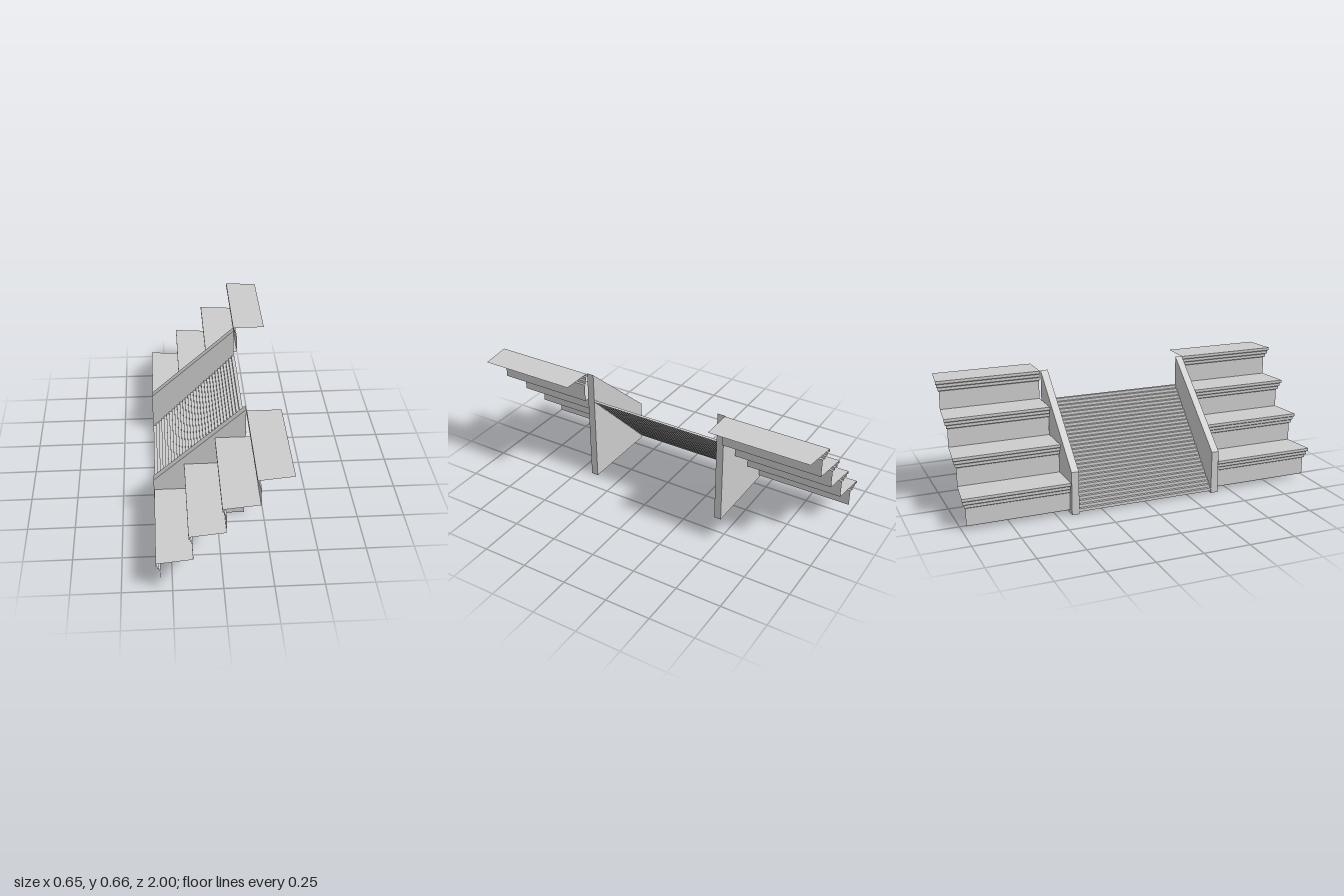
import * as THREE from 'three';

const sheetMaterial = new THREE.MeshStandardMaterial({ color: 0xcccccc, flatShading: true, side: THREE.DoubleSide });
const solidMaterial = new THREE.MeshStandardMaterial({ color: 0xcccccc, flatShading: true });

// Thin folded sheet: each profile point is { x, y, z0, z1 }, a line running along z
function foldedSheet(name, profile) {
  const positions = [];
  for (let i = 0; i < profile.length - 1; i++) {
    const p = profile[i], q = profile[i + 1];
    const a = [p.x, p.y, p.z0], b = [p.x, p.y, p.z1];
    const c = [q.x, q.y, q.z1], d = [q.x, q.y, q.z0];
    positions.push(...a, ...b, ...c, ...a, ...c, ...d);
  }
  const geometry = new THREE.BufferGeometry();
  geometry.setAttribute('position', new THREE.Float32BufferAttribute(positions, 3));
  geometry.computeVertexNormals();
  const mesh = new THREE.Mesh(geometry, sheetMaterial);
  mesh.name = name;
  return mesh;
}

// Flight of four steps with a stepped nosing, mitred at its outer end
function flight(name, side) {
  const steps = 4, run = 0.159, rise = 0.16, inset = 0.022;
  // [inset from the nose, drop below the tread], from riser foot up to the nose
  const nosing = [
    [inset, 0.155], [inset, 0.06], [0.014, 0.055], [0.014, 0.04],
    [0.007, 0.035], [0.007, 0.02], [0, 0.015], [0, 0],
  ];
  const profile = [];
  const add = (x, y, depth) => {
    const inner = 0.427, outer = 1 - depth;
    profile.push(side > 0 ? { x, y, z0: inner, z1: outer } : { x, y, z0: -outer, z1: -inner });
  };
  for (let i = 0; i < steps; i++) {
    const noseX = -0.328 + i * run, treadY = 0.177 + i * rise;
    for (const [depth, drop] of nosing) {
      add(noseX + depth, treadY - (i > 0 && drop === 0.155 ? rise : drop), depth);
    }
  }
  add(0.325, 0.177 + (steps - 1) * rise, inset);
  return foldedSheet(name, profile);
}

// Finely stepped ramp between the walls
function ramp() {
  const count = 30, x0 = -0.328, y0 = 0.012, run = 0.016, rise = 0.0161;
  const profile = [];
  for (let i = 0; i < count; i++) {
    const x = x0 + i * run, y = y0 + i * rise;
    profile.push({ x, y, z0: -0.385, z1: 0.385 }, { x, y: y + rise, z0: -0.385, z1: 0.385 });
  }
  profile.push({ x: 0.155, y: y0 + count * rise, z0: -0.385, z1: 0.385 });
  return foldedSheet('steppedRamp', profile);
}

// Slope-topped side wall
function wall(name, side) {
  const shape = new THREE.Shape([
    new THREE.Vector2(-0.33, 0), new THREE.Vector2(0.148, 0),
    new THREE.Vector2(0.148, 0.661), new THREE.Vector2(-0.33, 0.236),
  ]);
  const geometry = new THREE.ExtrudeGeometry(shape, { depth: 0.04, bevelEnabled: false });
  geometry.translate(0, 0, side * 0.404 - 0.02);
  const mesh = new THREE.Mesh(geometry, solidMaterial);
  mesh.name = name;
  return mesh;
}

export function createModel() {
  const model = new THREE.Group();
  model.name = 'staircase';
  for (const [label, side] of [['front', 1], ['back', -1]]) {
    model.add(flight(label + 'Flight', side), wall(label + 'Wall', side));
  }
  model.add(ramp());
  return model;
}
